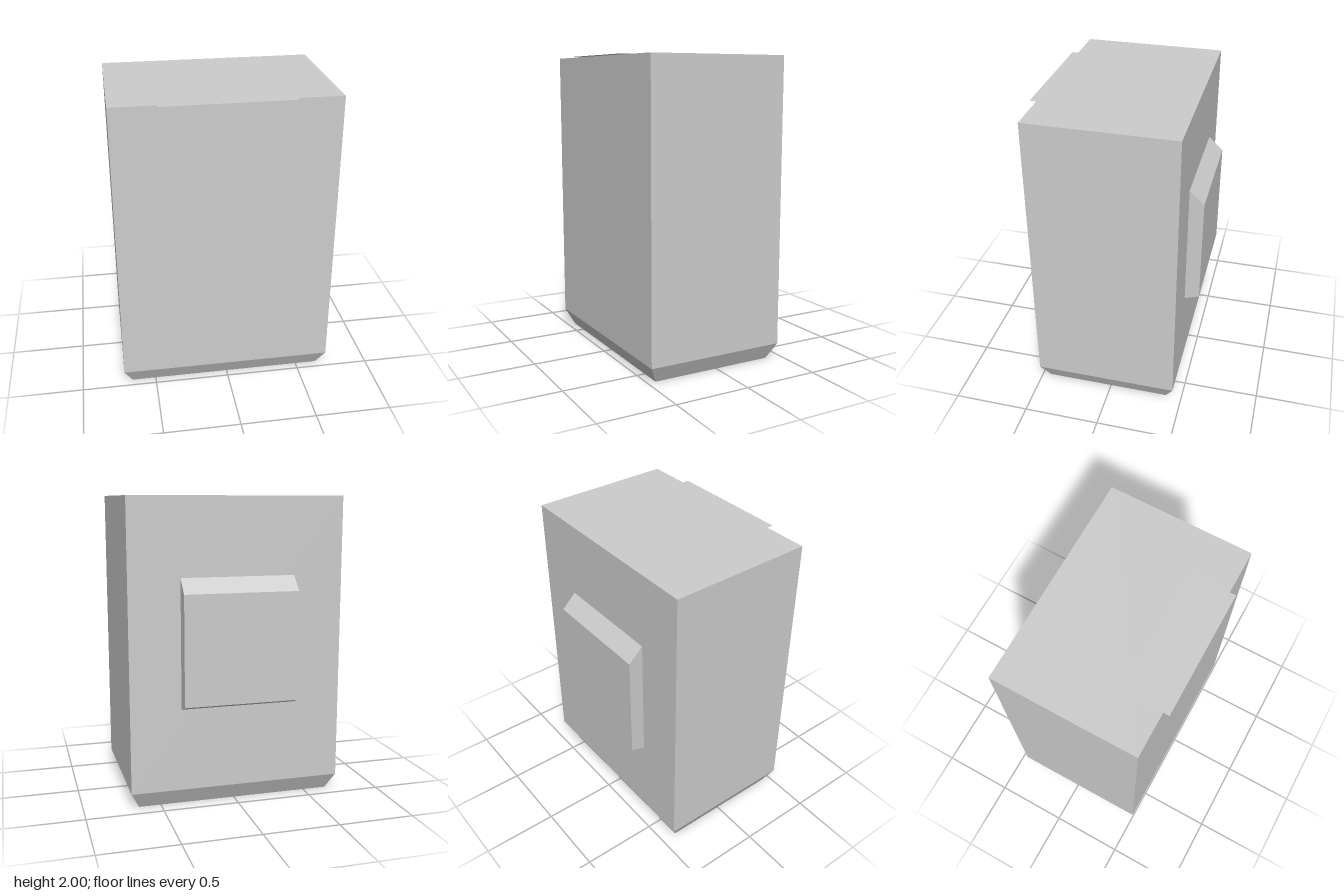
import * as THREE from 'three';

const grey = new THREE.MeshStandardMaterial({ color: 0xcccccc });
grey.name = 'plain grey';
const sheetGrey = grey.clone();
sheetGrey.side = THREE.DoubleSide;

export function createModel() {
  const model = new THREE.Group();
  const add = (name, geometry, x = 0, y = 0, z = 0, material = grey) => {
    const mesh = new THREE.Mesh(geometry, material);
    mesh.name = name;
    mesh.position.set(x, y, z);
    model.add(mesh);
    return mesh;
  };

  // Tall cabinet body whose lowest band slopes in to a smaller base
  const w = 1.415, h = 1.997, d = 0.947, inset = 0.055, bandTop = 0.11;
  let body = new THREE.BoxGeometry(w, h, d, 1, 2, 1).toNonIndexed();
  const p = body.attributes.position;
  for (let i = 0; i < p.count; i++) {
    const y = p.getY(i);
    if (y < -0.1) {
      p.setXYZ(i, p.getX(i) * (1 - 2 * inset / w), 0, p.getZ(i) * (1 - 2 * inset / d));
    } else {
      p.setY(i, y > 0.1 ? h : bandTop);
    }
  }
  body.computeVertexNormals();
  add('body', body, -0.0075, 0, 0.0265);

  // Raised box on the back with sloping top and bottom, profile in (z, y)
  const profile = new THREE.Shape([
    [0.447, 0.65], [0.543, 0.685], [0.543, 1.4], [0.447, 1.493],
  ].map(([z, y]) => new THREE.Vector2(z, y)));
  const backBox = new THREE.ExtrudeGeometry(profile, { depth: 0.752, bevelEnabled: false });
  backBox.rotateY(Math.PI / 2); // profile now points to the back
  add('backBox', backBox, -0.385, 0, 0);

  // Thin sheet on the top, overhanging the front edge
  const topSheet = new THREE.PlaneGeometry(0.83, 0.28).rotateX(-Math.PI / 2);
  add('topSheet', topSheet, -0.01, 2, 0.4, sheetGrey);

  // Thin sheets on the left side
  const sideSheet = (name, depth, height, x, y, z) =>
    add(name, new THREE.PlaneGeometry(depth, height).rotateY(Math.PI / 2), x, y, z, sheetGrey);
  sideSheet('sideSheet', 0.44, 0.455, 0.715, 0.922, 0.03);
  sideSheet('lowerSideSheet', 0.23, 0.17, 0.703, 0.275, 0.265);

  return model;
}
